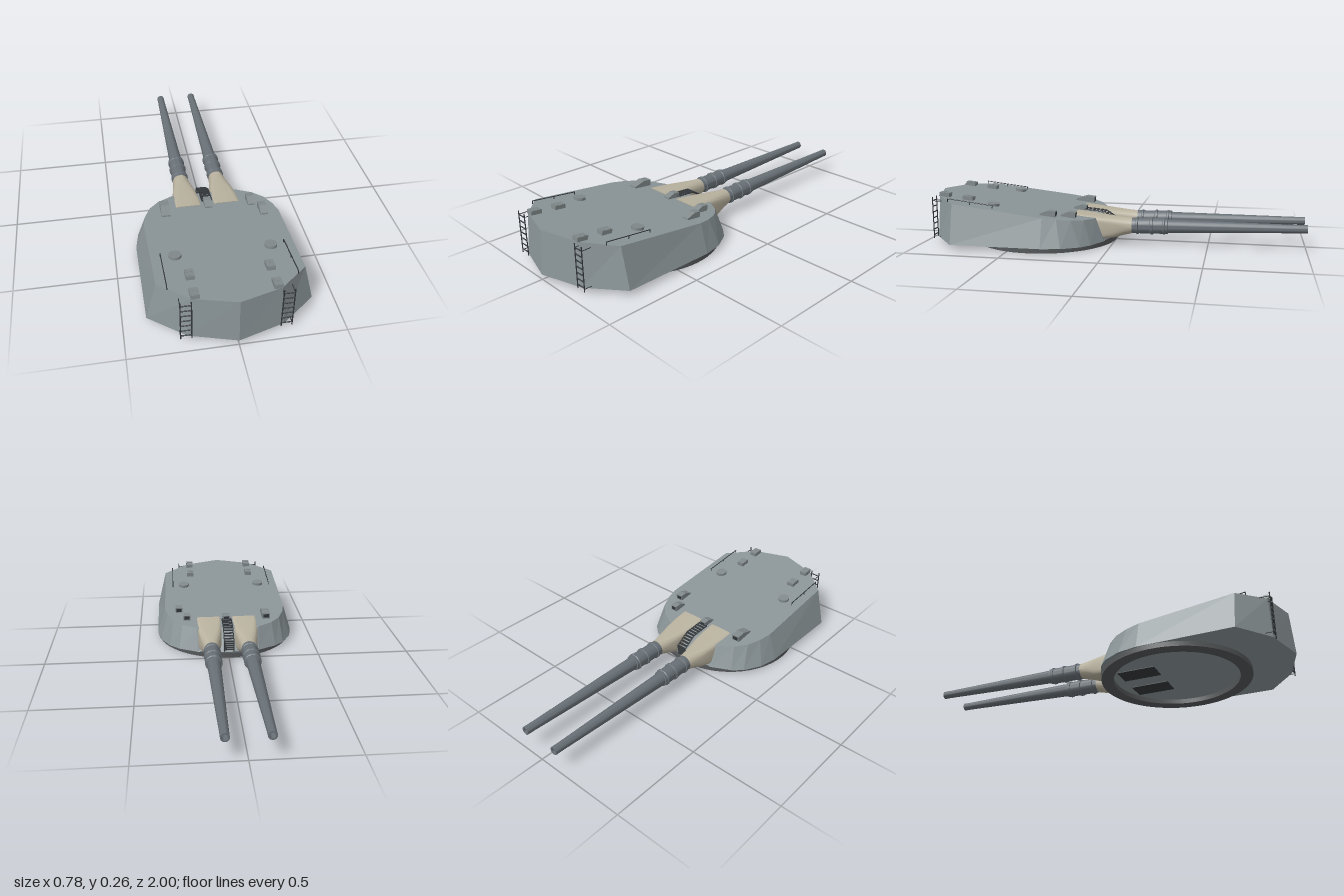
import * as THREE from 'three';
import { toCreasedNormals } from 'three/addons/utils/BufferGeometryUtils.js';

const mat = (color, opts = {}) => {
  const m = new THREE.MeshStandardMaterial({ color });
  return Object.assign(m, opts);
};
const armour = mat(0x8b9598, { flatShading: true });
const fitting = mat(0x828a8c, { flatShading: true });
const gunMetal = mat(0x687076);
const canvas = mat(0xb9b29f);
const ringMetal = mat(0x55585a);
const dark = mat(0x34383b);

const FLOOR = 0.025, SLOPE = 0.115;
const roofY = z => 0.25 - (0.985 - z) * SLOPE;

function add(parent, name, geometry, material, x = 0, y = 0, z = 0) {
  const mesh = new THREE.Mesh(geometry, material);
  mesh.name = name;
  mesh.position.set(x, y, z);
  parent.add(mesh);
  return mesh;
}

function group(parent, name) {
  const g = new THREE.Group();
  g.name = name;
  parent.add(g);
  return g;
}

// Skin through equal-length rings of points, closed at both ends
function loft(rings) {
  const n = rings[0].length, pos = [], idx = [];
  rings.forEach(r => r.forEach(p => pos.push(...p)));
  for (let k = 0; k < rings.length - 1; k++)
    for (let i = 0; i < n; i++) {
      const a = k * n + i, b = k * n + (i + 1) % n;
      idx.push(a, b, b + n, a, b + n, a + n);
    }
  [0, rings.length - 1].forEach(k => {
    const c = pos.length / 3;
    for (let j = 0; j < 3; j++) pos.push(rings[k].reduce((s, p) => s + p[j], 0) / n);
    for (let i = 0; i < n; i++) {
      const a = k * n + i, b = k * n + (i + 1) % n;
      k ? idx.push(c, a, b) : idx.push(c, b, a);
    }
  });
  const g = new THREE.BufferGeometry();
  g.setAttribute('position', new THREE.Float32BufferAttribute(pos, 3));
  g.setIndex(idx);
  g.computeVertexNormals();
  return g;
}

// Thin round bar between two points
function bar(parent, name, a, b, r = 0.003) {
  const from = new THREE.Vector3(...a), to = new THREE.Vector3(...b);
  const dir = to.clone().sub(from);
  const mesh = add(parent, name, new THREE.CylinderGeometry(r, r, dir.length(), 6), dark);
  mesh.position.copy(from).add(to).multiplyScalar(0.5);
  mesh.quaternion.setFromUnitVectors(new THREE.Vector3(0, 1, 0), dir.normalize());
}

// Half outline (rear centre to front) mirrored into a full ring
function outline(half, yAt) {
  const left = half.map(([x, z]) => [x, yAt(z), z]);
  const right = half.filter(p => p[0] > 0).reverse().map(([x, z]) => [-x, yAt(z), z]);
  return [...left, ...right];
}

// Rounded-square section of the gun cover
function section(z, halfW, y0, y1, power) {
  const pts = [], n = 32, e = 2 / power;
  for (let i = 0; i < n; i++) {
    const a = (i / n) * Math.PI * 2, c = Math.cos(a), s = Math.sin(a);
    pts.push([
      -Math.sign(c) * Math.abs(c) ** e * halfW,
      (y0 + y1) / 2 + Math.sign(s) * Math.abs(s) ** e * (y1 - y0) / 2, z]);
  }
  return pts;
}

// Wedge hood with a dark opening towards the guns
function hood(parent, x, z, w, len, h) {
  const g = group(parent, 'sightHood');
  const s = new THREE.Shape([[0, -0.004], [len, -0.004], [len, h], [len * 0.55, h], [0, 0.008]]
    .map(p => new THREE.Vector2(...p)));
  const geo = new THREE.ExtrudeGeometry(s, { depth: w, bevelEnabled: false });
  geo.translate(0, 0, -w / 2).rotateY(Math.PI / 2);
  add(g, 'hoodBody', geo, fitting);
  add(g, 'hoodOpening', new THREE.BoxGeometry(w * 0.7, h * 0.65, 0.002), dark, 0, h * 0.52, -len);
  g.position.set(x, 0, z);
}

export function createModel() {
  const model = new THREE.Group();
  model.name = 'gunTurret';

  // Armoured house
  const bottom = [[0, 1], [0.22, 0.935], [0.39, 0.8], [0.39, 0.32], [0.37, 0.22],
    [0.32, 0.13], [0.27, 0.085], [0.17, 0.035], [0.03, 0.015]];
  const top = [[0, 0.985], [0.2, 0.925], [0.34, 0.8], [0.345, 0.32], [0.33, 0.25],
    [0.30, 0.18], [0.25, 0.125], [0.17, 0.08], [0.03, 0.08]];
  add(model, 'turretHouse', loft([outline(bottom, () => FLOOR), outline(top, roofY)]), armour);

  // Base ring
  const ring = new THREE.LatheGeometry([[0.325, 0], [0.388, 0], [0.388, 0.027], [0.325, 0.027], [0.325, 0]]
    .map(p => new THREE.Vector2(...p)), 64);
  add(model, 'baseRing', toCreasedNormals(ring, 0.6), ringMetal, 0, 0, 0.388);

  // Guns: cover, collar with bands, tapering barrel with open bore
  const profile = [[0.036, -0.03], [0.041, 0], [0.041, 0.025], [0.046, 0.028], [0.046, 0.036],
    [0.041, 0.039], [0.041, 0.1], [0.046, 0.103], [0.046, 0.113], [0.041, 0.116], [0.041, 0.165],
    [0.045, 0.168], [0.045, 0.176], [0.041, 0.18], [0.041, 0.192], [0.035, 0.194],
    [0.021, 0.86], [0.021, 0.9], [0.014, 0.9], [0.013, 0.8], [0, 0.8]]
    .map(p => new THREE.Vector2(...p));
  const barrelGeo = toCreasedNormals(new THREE.LatheGeometry(profile, 32).rotateX(-Math.PI / 2), 0.5);
  const coverGeo = toCreasedNormals(loft([
    section(0.2, 0.07, 0.045, 0.164, 10),
    section(0.13, 0.069, 0.03, 0.158, 8),
    section(0.05, 0.064, 0.03, 0.151, 5),
    section(-0.01, 0.055, 0.036, 0.147, 3.5),
    section(-0.06, 0.046, 0.05, 0.144, 2.5),
    section(-0.105, 0.041, 0.06, 0.142, 2)]), 0.7);
  for (const side of [-1, 1]) {
    const gun = group(model, side > 0 ? 'leftGun' : 'rightGun');
    gun.position.x = side * 0.1;
    add(gun, 'gunCover', coverGeo, canvas);
    add(gun, 'barrel', barrelGeo, gunMetal, 0, 0.101, -0.1).rotation.x = 0.018;
    add(gun, 'gunWell', new THREE.BoxGeometry(0.11, 0.004, 0.2), dark, 0, 0.024, 0.22);
  }

  // Roof fittings, laid on the sloping roof
  const roof = group(model, 'roofFittings');
  roof.position.y = roofY(0);
  roof.rotation.x = -Math.atan(SLOPE);
  hood(roof, -0.225, 0.275, 0.045, 0.105, 0.032);
  hood(roof, 0, 0.235, 0.038, 0.07, 0.026);
  hood(roof, 0.222, 0.25, 0.038, 0.075, 0.03);
  hood(roof, 0.265, 0.35, 0.038, 0.08, 0.03);
  for (const side of [-1, 1]) {
    add(roof, 'hatch', new THREE.CylinderGeometry(0.03, 0.03, 0.014, 24), fitting, side * 0.228, 0.007, 0.618);
    for (const z of [0.775, 0.907]) {
      add(roof, 'ventBox', new THREE.BoxGeometry(0.04, 0.02, 0.056), fitting, side * 0.184, 0.01, z);
      for (const dz of [-0.014, 0.014])
        add(roof, 'ventLid', new THREE.BoxGeometry(0.034, 0.002, 0.02), fitting, side * 0.184, 0.0205, z + dz);
    }
    const rail = group(roof, 'handRail');
    const x = side * 0.295;
    bar(rail, 'railBar', [x, 0.014, 0.6], [x, 0.014, 0.85], 0.0025);
    for (const z of [0.602, 0.725, 0.848]) bar(rail, 'railPost', [x, -0.002, z], [x, 0.014, z], 0.0025);
  }

  // Rear ladders
  for (const side of [-1, 1]) {
    const ladder = group(model, 'rearLadder');
    const xs = [side * 0.203, side * 0.253], z = 0.945;
    for (const x of xs) {
      bar(ladder, 'ladderRail', [x, 0.022, z], [x, 0.245, z]);
      for (const y of [0.035, 0.225]) bar(ladder, 'ladderBracket', [x, y, z], [x, y, 0.895], 0.002);
    }
    for (let i = 0; i < 7; i++) {
      const y = 0.041 + i * 0.0307;
      bar(ladder, 'ladderRung', [xs[0], y, z], [xs[1], y, z]);
    }
  }

  // Steps between the guns
  const steps = group(model, 'centreSteps');
  const path = [[0.165, 0.163], [0.06, 0.154], [-0.015, 0.105], [-0.005, 0.04]];
  for (let k = 0; k < path.length - 1; k++) {
    const [[z0, y0], [z1, y1]] = [path[k], path[k + 1]];
    for (const x of [-0.026, 0.026]) bar(steps, 'stringer', [x, y0, z0], [x, y1, z1]);
    for (let i = 0; i < 5; i++) {
      const t = i / 5;
      add(steps, 'tread', new THREE.BoxGeometry(0.052, 0.004, 0.012), dark,
        0, y0 + (y1 - y0) * t, z0 + (z1 - z0) * t);
    }
  }
  return model;
}
